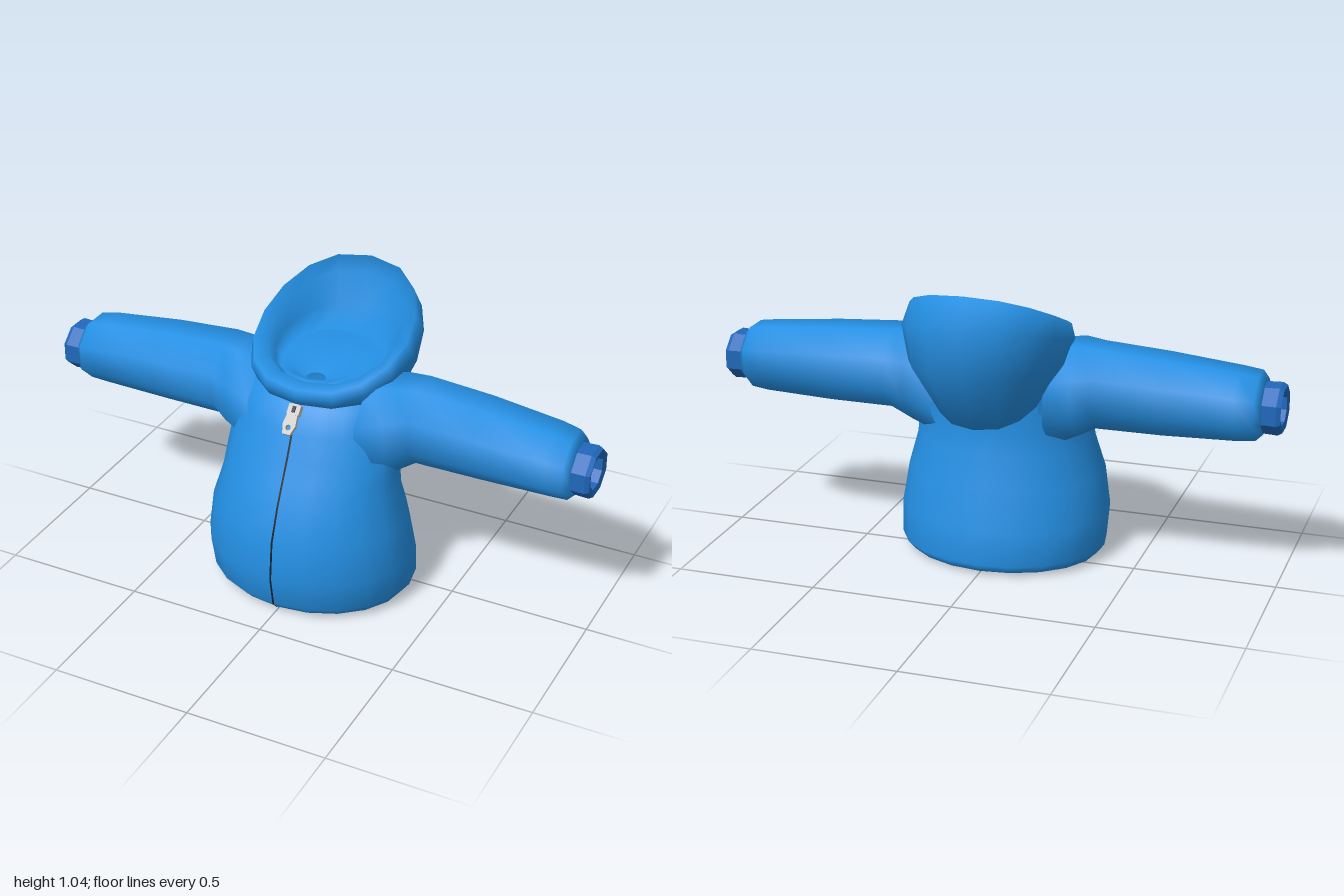
import * as THREE from 'three';

const fabric = new THREE.MeshStandardMaterial({ color: 0x248fe3, side: THREE.DoubleSide });
fabric.name = 'blue fabric';
const trim = new THREE.MeshStandardMaterial({ color: 0x2068bb, side: THREE.DoubleSide });
trim.name = 'dark blue trim';
const seam = new THREE.MeshStandardMaterial({ color: 0x14202c, side: THREE.DoubleSide });
seam.name = 'dark seam';
const metal = new THREE.MeshStandardMaterial({ color: 0xc8c6c2 });
metal.name = 'light metal';

// Skin closed rings of points; skip(centre) leaves openings
function loft(rings, { skip = () => false, flat = false } = {}) {
  const n = rings[0].length, index = [];
  for (let i = 0; i < rings.length - 1; i++) {
    for (let j = 0; j < n; j++) {
      const k = (j + 1) % n;
      const centre = new THREE.Vector3();
      for (const p of [rings[i][j], rings[i][k], rings[i + 1][j], rings[i + 1][k]]) centre.addScaledVector(p, 0.25);
      if (skip(centre)) continue;
      const a = i * n + j, b = i * n + k;
      index.push(a, b, b + n, a, b + n, a + n);
    }
  }
  let geo = new THREE.BufferGeometry().setFromPoints(rings.flat());
  geo.setIndex(index);
  if (flat) geo = geo.toNonIndexed();
  geo.computeVertexNormals();
  return geo;
}

const circle = (n, f, offset = 0) => Array.from({ length: n }, (_, j) => f((j / n) * Math.PI * 2 + offset));

// Horizontal torso ring: height, half width, front z, back z
const torsoRing = ([y, hw, zf, zb]) => circle(20, a => new THREE.Vector3(
  hw * Math.sin(a), y, (zf + zb) / 2 + ((zf - zb) / 2) * Math.cos(a)));

// Tilted hood ring between a front point and a back point, sagging at the sides
const hoodRing = ([zf, yf, zb, yb, hw, sag = 0]) => circle(16, a => {
  const t = (1 - Math.cos(a)) / 2, s = Math.sin(a);
  return new THREE.Vector3(hw * Math.sign(s) * Math.abs(s) ** 0.85,
    yf + (yb - yf) * t - sag * Math.sin(Math.PI * t), zf + (zb - zf) * t);
});

// Octagonal arm ring: x, top, bottom, front z, back z
const armRing = (side, [x, top, bottom, zf, zb]) => circle(8, a => new THREE.Vector3(
  side * x,
  (top + bottom) / 2 + ((top - bottom) / 2) * Math.cos(a) / Math.cos(Math.PI / 8),
  (zf + zb) / 2 + side * ((zf - zb) / 2) * Math.sin(a) / Math.cos(Math.PI / 8)), Math.PI / 8);

const torsoRings = [
  [0.012, 0.345, 0.365, -0.205], [0.045, 0.37, 0.396, -0.235], [0.16, 0.376, 0.416, -0.215],
  [0.3, 0.355, 0.402, -0.182], [0.42, 0.32, 0.357, -0.152], [0.5, 0.312, 0.318, -0.141],
  [0.57, 0.305, 0.283, -0.142], [0.65, 0.29, 0.248, -0.142], [0.73, 0.265, 0.205, -0.135],
  [0.775, 0.22, 0.13, -0.11],
];
const liningRings = [
  [0.5, 0.295, 0.3, -0.125], [0.3, 0.33, 0.375, -0.158], [0.12, 0.345, 0.385, -0.185], [0.025, 0.305, 0.325, -0.165],
];
const hoodRings = [
  [0.12, 0.71, -0.13, 0.57, 0.14], [0.17, 0.73, -0.26, 0.55, 0.19], [0.21, 0.745, -0.405, 0.77, 0.265],
  [0.222, 0.775, -0.415, 0.95, 0.288, 0.015], [0.22, 0.805, -0.365, 1.045, 0.27, 0.02],
  [0.155, 0.805, -0.325, 1.0, 0.228, 0.015], [0.14, 0.79, -0.325, 0.87, 0.205],
  [0.13, 0.79, -0.25, 0.8, 0.175], [0.12, 0.8, -0.15, 0.845, 0.15], [0.1, 0.77, 0.04, 0.78, 0.035],
];
const sleeveRings = [
  [0.2, 0.795, 0.44, 0.19, -0.13], [0.3, 0.812, 0.49, 0.17, -0.143], [0.37, 0.81, 0.53, 0.135, -0.143],
  [0.6, 0.795, 0.53, 0.13, -0.137], [0.85, 0.77, 0.535, 0.123, -0.118], [0.915, 0.76, 0.54, 0.122, -0.105],
  [0.937, 0.735, 0.56, 0.1, -0.082], [0.925, 0.715, 0.575, 0.08, -0.06],
];
const cuffRings = [
  [0.91, 0.72, 0.57, 0.094, -0.07], [0.93, 0.724, 0.564, 0.1, -0.076], [0.985, 0.726, 0.562, 0.102, -0.078],
  [1.0, 0.718, 0.57, 0.094, -0.07], [0.995, 0.697, 0.591, 0.07, -0.042], [0.88, 0.697, 0.591, 0.07, -0.042],
];

export function createModel() {
  const group = new THREE.Group();
  const add = (name, geo, mat, parent = group) => {
    const mesh = new THREE.Mesh(geo, mat);
    mesh.name = name;
    parent.add(mesh);
    return mesh;
  };

  // Torso with open armholes, lining and hem edge
  const armhole = c => Math.abs(c.x) > 0.17 && c.y > 0.57 && c.y < 0.73 && c.z > -0.09 && c.z < 0.12;
  add('torso', loft(torsoRings.map(torsoRing), { skip: armhole }), fabric);
  add('lining', loft(liningRings.map(torsoRing)), fabric);
  add('hemEdge', loft([liningRings[3], [0.004, 0.325, 0.345, -0.185], torsoRings[0]].map(torsoRing)), trim);

  // Hood: outer bag, rolled rim, inside and neck opening
  add('hood', loft(hoodRings.map(hoodRing)), fabric);

  // Sleeves and cuffs
  for (const [side, label] of [[1, 'left'], [-1, 'right']]) {
    add(label + 'Sleeve', loft(sleeveRings.map(r => armRing(side, r))), fabric);
    add(label + 'Cuff', loft(cuffRings.map(r => armRing(side, r)), { flat: true }), trim);
  }

  // Zip seam: narrow ribbon down the front
  const ribbon = new THREE.PlaneGeometry(0.007, 1, 1, 8);
  const pos = ribbon.attributes.position;
  for (let i = 0; i < pos.count; i++) {
    const [y, , zf] = torsoRings[8 - Math.floor(i / 2)];
    pos.setY(i, y);
    pos.setZ(i, zf + 0.003);
  }
  ribbon.computeVertexNormals();
  add('zipSeam', ribbon, seam);

  // Zip slider and hanging pull tab
  const zip = new THREE.Group();
  zip.name = 'zipPull';
  zip.position.set(0, 0.742, 0.208);
  zip.rotation.x = -0.75;
  group.add(zip);
  const tab = new THREE.Shape();
  tab.moveTo(-0.014, 0);
  tab.lineTo(-0.024, -0.075);
  tab.lineTo(-0.014, -0.108);
  tab.lineTo(0.014, -0.108);
  tab.lineTo(0.024, -0.075);
  tab.lineTo(0.014, 0);
  const hole = new THREE.Path();
  hole.absarc(0, -0.084, 0.01, 0, Math.PI * 2, true);
  tab.holes.push(hole);
  add('pullTab', new THREE.ExtrudeGeometry(tab, { depth: 0.014, bevelEnabled: false, curveSegments: 4 }), metal, zip);
  add('slider', new THREE.BoxGeometry(0.044, 0.035, 0.022), metal, zip).position.set(0, -0.02, 0.004);
  add('sliderSlot', new THREE.BoxGeometry(0.012, 0.022, 0.004), seam, zip).position.set(0, -0.02, 0.016);

  return group;
}
